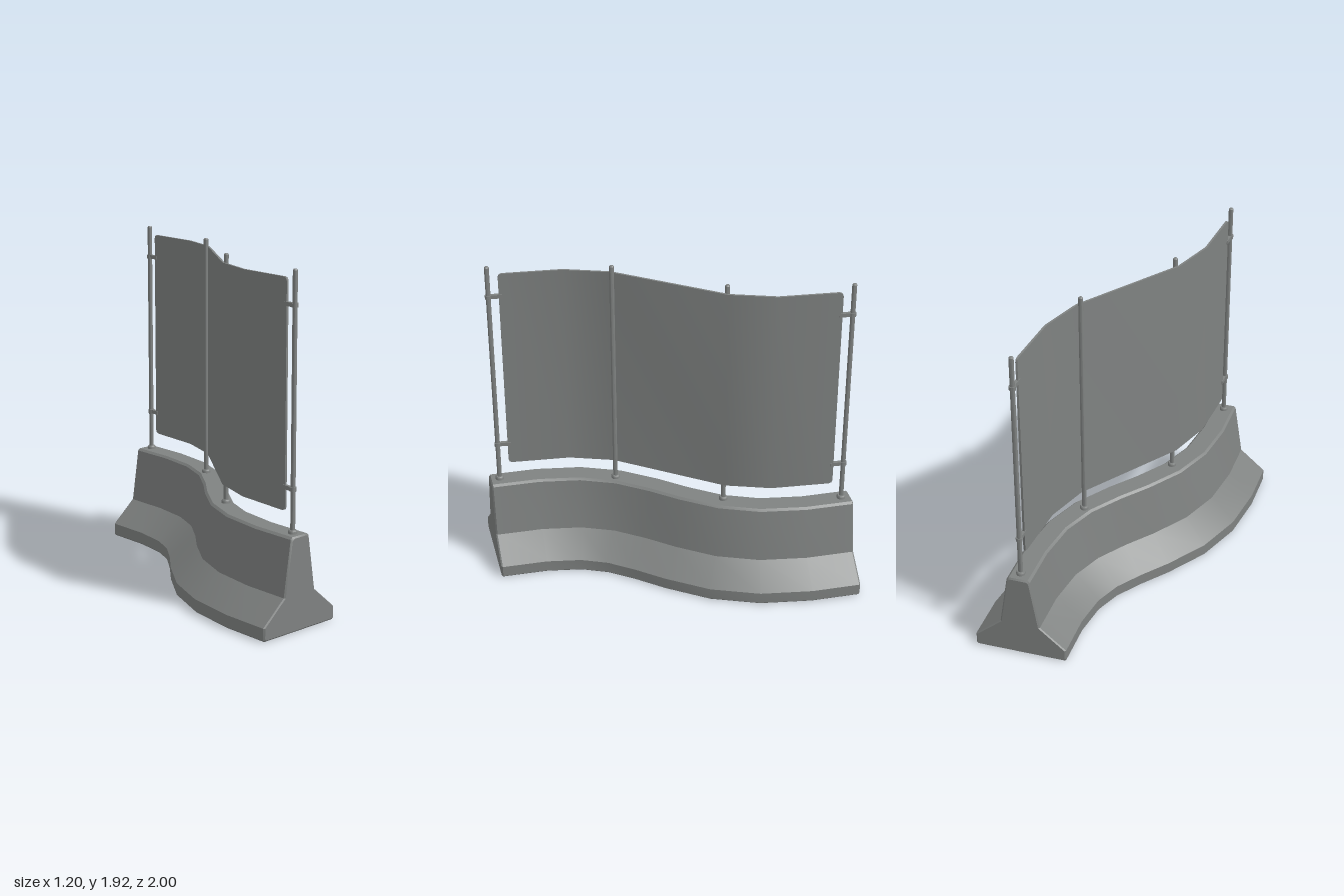
import * as THREE from 'three';
import { toCreasedNormals } from 'three/addons/utils/BufferGeometryUtils.js';

const deg = Math.PI / 180;

// Sweeps sections along stations {x, z, t}; each section is a counterclockwise loop of [across, y].
function sweep(stations, section, centreY) {
  const pos = [], index = [];
  const n = section(stations[0]).length;
  const put = (s, u, y) => pos.push(s.x + u * Math.cos(s.t), y, s.z + u * Math.sin(s.t));
  stations.forEach((s) => section(s).forEach(([u, y]) => put(s, u, y)));
  for (let k = 0; k < stations.length - 1; k++) {
    for (let i = 0; i < n; i++) {
      const j = (i + 1) % n, a = k * n, b = a + n;
      index.push(a + i, a + j, b + j, a + i, b + j, b + i);
    }
  }
  // end caps
  const last = (stations.length - 1) * n, c0 = stations.length * n;
  put(stations[0], 0, centreY);
  put(stations[stations.length - 1], 0, centreY);
  for (let i = 0; i < n; i++) {
    const j = (i + 1) % n;
    index.push(c0, j, i, c0 + 1, last + i, last + j);
  }
  const g = new THREE.BufferGeometry();
  g.setAttribute('position', new THREE.Float32BufferAttribute(pos, 3));
  g.setIndex(index);
  return toCreasedNormals(g, 30 * deg);
}

// Completes an S-curve from its back half by half-turn symmetry.
function sCurve(half) {
  const back = half.map(([x, z, t, inset = 0]) => ({ x, z, t: t * deg, inset }));
  const front = back.map((s) => ({ ...s, x: -s.x, z: -s.z })).reverse();
  return [...back, ...front];
}

export function createModel() {
  const group = new THREE.Group();
  const grey = new THREE.MeshStandardMaterial({ color: 0x7f8281 });
  grey.name = 'concrete grey';
  const add = (name, geometry, x = 0, y = 0, z = 0, parent = group) => {
    const mesh = new THREE.Mesh(geometry, grey);
    mesh.name = name;
    mesh.position.set(x, y, z);
    parent.add(mesh);
    return mesh;
  };

  // Curved concrete barrier with a flared foot
  const right = [[0.257, 0], [0.265, 0.008], [0.265, 0.075], [0.115, 0.205], [0.067, 0.513], [0.054, 0.525]];
  const profile = [...right, ...right.map(([u, y]) => [-u, y]).reverse()];
  const barrierPath = sCurve([
    [0.333, -1, 0, 0.008], [0.333, -0.992, 0], [0.325, -0.72, 2.2], [0.283, -0.47, 13],
    [0.195, -0.26, 27], [0.063, -0.075, 38.5],
  ]);
  add('barrier', sweep(barrierPath, (s) => profile.map(([u, y]) => [
    u - Math.sign(u) * s.inset,
    y > 0.3 ? y - s.inset : y + (y < 0.05 ? s.inset : 0),
  ]), 0.1));

  // Thin curved screen with rounded corners
  const panelPath = sCurve([
    [0.33, -0.885, 5.6, 0.02], [0.3294, -0.879, 5.6, 0.006], [0.328, -0.865, 5.6],
    [0.295, -0.53, 12.7], [0.205, -0.28, 28],
  ]);
  add('screenPanel', sweep(panelPath, ({ inset }) => [
    [-0.006, 0.635 + inset], [0.006, 0.635 + inset], [0.006, 1.873 - inset], [-0.006, 1.873 - inset],
  ], 1.254));

  // Posts with chamfered tops and foot collars
  const lathe = (pts) => toCreasedNormals(
    new THREE.LatheGeometry(pts.map(([r, y]) => new THREE.Vector2(r, y)), 12), 35 * deg);
  const postGeo = lathe([[0, 0.51], [0.0135, 0.51], [0.0135, 1.915], [0.009, 1.921], [0, 1.921]]);
  const collarGeo = lathe([[0.025, 0.515], [0.025, 0.538], [0.02, 0.545], [0, 0.545]]);
  const clampGeo = toCreasedNormals(new THREE.CylinderGeometry(0.019, 0.019, 0.022, 12), 35 * deg);
  const strapGeo = new THREE.BoxGeometry(0.02, 0.022, 0.08);

  for (const side of [1, -1]) {
    for (const [x, z, isEnd] of [[-0.335, 0.943, true], [-0.184, 0.278, false]]) {
      const post = new THREE.Group();
      post.name = isEnd ? 'endPost' : 'middlePost';
      post.position.set(x * side, 0, z * side);
      group.add(post);
      add('postTube', postGeo, 0, 0, 0, post);
      add('postCollar', collarGeo, 0, 0, 0, post);
      if (!isEnd) continue;
      // Brackets gripping the screen
      for (const y of [0.765, 1.735]) {
        add('bracketClamp', clampGeo, 0, y, 0, post);
        add('bracketStrap', strapGeo, 0.003 * side, y, -0.037 * side, post).rotation.y = -5 * deg;
      }
    }
  }
  return group;
}
